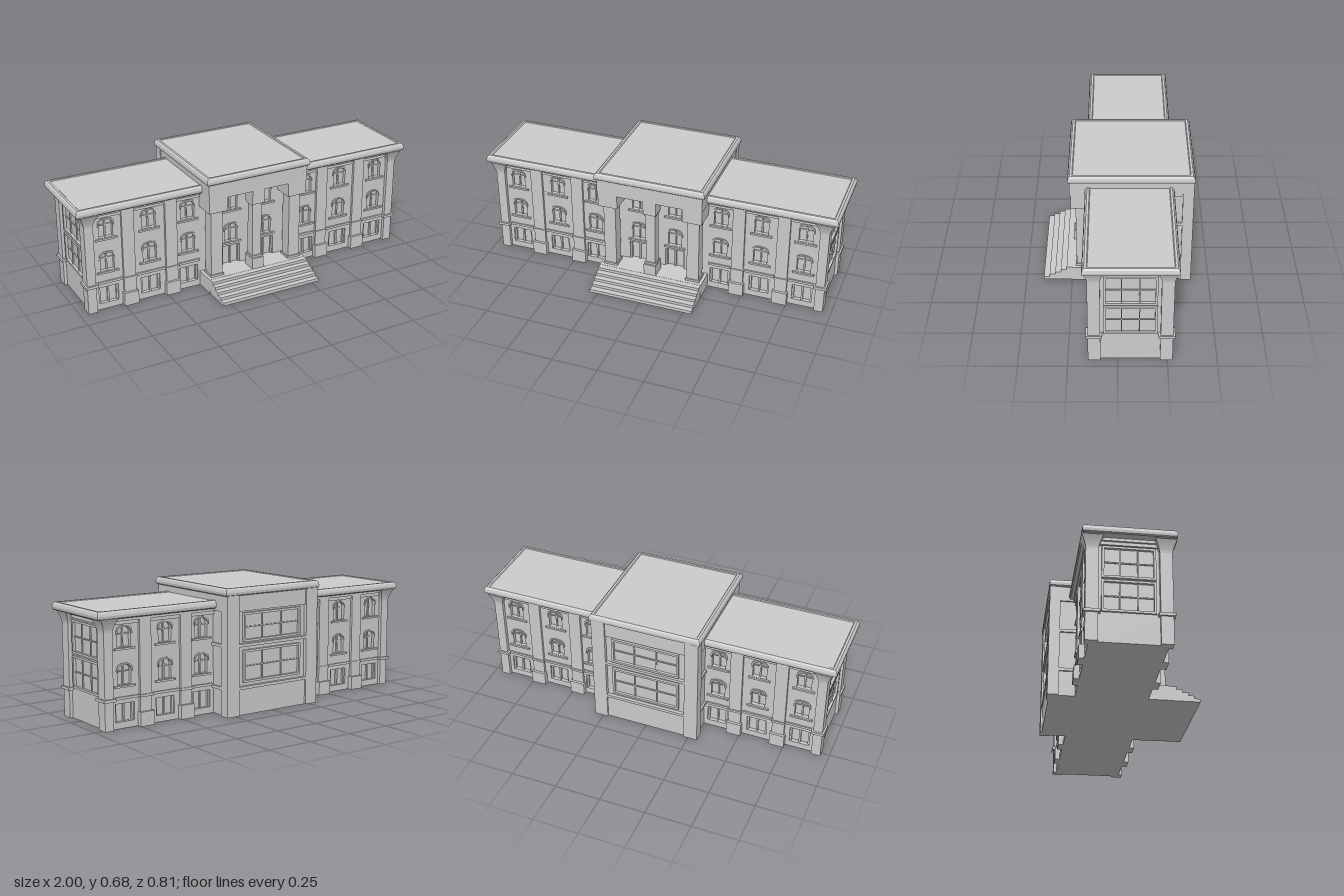
import * as THREE from 'three';

const mat = new THREE.MeshStandardMaterial({ color: 0xcccccc, flatShading: true });

function add(parent, name, geometry) {
  const m = new THREE.Mesh(geometry, mat);
  m.name = name;
  parent.add(m);
  return m;
}

// Box given by its limits on each axis
function box(parent, name, x0, x1, y0, y1, z0, z1) {
  const g = new THREE.BoxGeometry(x1 - x0, y1 - y0, z1 - z0);
  g.translate((x0 + x1) / 2, (y0 + y1) / 2, (z0 + z1) / 2);
  return add(parent, name, g);
}

function rectPath(P, x0, x1, y0, y1) {
  const p = new P();
  p.moveTo(x0, y0).lineTo(x1, y0).lineTo(x1, y1).lineTo(x0, y1).closePath();
  return p;
}

// Opening with a shallow arched head; y1 is the crown
function archPath(x, w, y0, y1, rise) {
  const p = new THREE.Path();
  p.moveTo(x - w / 2, y0).lineTo(x + w / 2, y0).lineTo(x + w / 2, y1 - rise);
  p.quadraticCurveTo(x + w / 2, y1, x, y1);
  p.quadraticCurveTo(x - w / 2, y1, x - w / 2, y1 - rise);
  return p.closePath();
}

// Curved moulding over an arched window whose foot is at y
function hoodShape(x, y) {
  const o = 0.046, i = 0.039, s = new THREE.Shape();
  s.moveTo(x + o, y).lineTo(x + o, y + 0.013);
  s.quadraticCurveTo(x + o, y + 0.045, x, y + 0.045);
  s.quadraticCurveTo(x - o, y + 0.045, x - o, y + 0.013);
  s.lineTo(x - o, y).lineTo(x - i, y).lineTo(x - i, y + 0.007);
  s.quadraticCurveTo(x - i, y + 0.037, x, y + 0.037);
  s.quadraticCurveTo(x + i, y + 0.037, x + i, y + 0.007);
  return s.lineTo(x + i, y).closePath();
}

const extrude = (shape, depth) =>
  new THREE.ExtrudeGeometry(shape, { depth, bevelEnabled: false, curveSegments: 5 });

// Roof slab with a moulded edge and a slightly sunken top
function roofSlab(parent, name, w, d, y0, h) {
  const profile = [[0.06, 0], [0.008, 0], [0.002, 0.12], [0, 0.45], [0.004, 0.8], [0.012, 1],
    [0.024, 1], [0.028, 0.9]].map(([inset, t]) => new THREE.Vector2((1 - inset) * Math.SQRT2, y0 + t * h));
  profile.push(new THREE.Vector2(0, y0 + 0.9 * h));
  const g = new THREE.LatheGeometry(profile, 4, Math.PI / 4);
  const p = g.attributes.position;
  for (let i = 0; i < p.count; i++) {
    const x = p.getX(i), z = p.getZ(i);
    if (Math.abs(x) < 0.1) continue;
    p.setX(i, Math.sign(x) * (w / 2 - 1 + Math.abs(x)));
    p.setZ(i, Math.sign(z) * (d / 2 - 1 + Math.abs(z)));
  }
  g.computeVertexNormals();
  return add(parent, name, g);
}

// Large framed window with a grid of panes, facing +z, on y0..y1
function gridWindow(name, half, y0, y1) {
  const w = new THREE.Group();
  w.name = name;
  const frame = rectPath(THREE.Shape, -half, half, y0, y1);
  frame.holes.push(rectPath(THREE.Path, -half + 0.012, half - 0.012, y0 + 0.012, y1 - 0.012));
  add(w, 'windowFrame', extrude(frame, 0.014));
  for (const s of [-1, 1]) box(w, 'mullion', s * half / 3 - 0.003, s * half / 3 + 0.003, y0, y1, 0, 0.006);
  const ym = (y0 + y1) / 2;
  box(w, 'transom', -half, half, ym - 0.003, ym + 0.003, 0, 0.006);
  return w;
}

// Corner pillar with collar and a cap that flares outward
function cornerPillar(parent, x, z) {
  const g = new THREE.Group();
  g.name = 'cornerPillar';
  box(g, 'pillarShaft', -0.025, 0.025, 0, 0.5, -0.0315, 0.0315);
  box(g, 'pillarCollar', -0.035, 0.035, 0.148, 0.163, -0.0415, 0.0415);
  const cap = new THREE.BoxGeometry(0.05, 0.07, 0.063, 1, 6, 1);
  const p = cap.attributes.position;
  for (let i = 0; i < p.count; i++) {
    const t = THREE.MathUtils.clamp((p.getY(i) + 0.035) / 0.07, 0, 1);
    const f = 0.024 * Math.pow(t, 1.5);
    p.setX(i, p.getX(i) + Math.sign(p.getX(i)) * f);
    p.setZ(i, p.getZ(i) + Math.sign(p.getZ(i)) * f);
  }
  cap.translate(0, 0.53, 0);
  cap.computeVertexNormals();
  add(g, 'pillarCap', cap);
  g.position.set(x, 0, z);
  parent.add(g);
}

// One long facade plus one end wall, about the centre line of the wings
function halfShell() {
  const g = new THREE.Group();
  g.name = 'wingFacade';
  const glass = 0.172, face = 0.193;
  const wall = rectPath(THREE.Shape, -0.93, 0.93, 0, 0.56);
  for (const s of [-1, 1]) for (const b of [0.105, 0.365, 0.59, 0.83]) {
    const x = s * b, porch = b < 0.2;
    // Arched windows on two floors
    for (const y of [0.222, 0.412]) {
      wall.holes.push(archPath(x, 0.076, y, y + 0.102, 0.03));
      box(g, 'windowSill', x - 0.06, x + 0.06, y - 0.012, y - 0.002, glass, face + 0.01);
      box(g, 'mullion', x - 0.004, x + 0.004, y, y + 0.1, glass - 0.002, glass + 0.009);
      box(g, 'transom', x - 0.038, x + 0.038, y + 0.064, y + 0.07, glass - 0.002, glass + 0.007);
      add(g, 'windowHood', extrude(hoodShape(x, y + 0.066), 0.006)).position.z = face;
    }
    // Basement windows, or doors within the porch
    const y0 = porch ? 0.083 : 0.035, y1 = porch ? 0.195 : 0.128;
    wall.holes.push(rectPath(THREE.Path, x - 0.055, x + 0.055, y0, y1));
    for (const e of [-1, 0, 1])
      box(g, porch ? 'doorPost' : 'basementMullion',
        x + e * 0.05 - 0.005, x + e * 0.05 + 0.005, y0, y1, glass - 0.002, glass + 0.012);
  }
  add(g, 'facadeWall', extrude(wall, face - glass)).position.z = glass;

  for (const s of [-1, 1]) {
    // Pilasters with block bases between the bays
    for (const x of [0.7125, 0.4675]) {
      box(g, 'pilaster', s * x - 0.034, s * x + 0.034, 0, 0.55, glass, 0.207);
      box(g, 'pilasterBase', s * x - 0.041, s * x + 0.041, 0, 0.075, glass, 0.221);
      box(g, 'pilasterCollar', s * x - 0.038, s * x + 0.038, 0.15, 0.163, glass, 0.213);
    }
    cornerPillar(g, s * 0.93, 0.181);
    const a = s * 0.3, b = s * 0.93;
    box(g, 'wallBand', Math.min(a, b), Math.max(a, b), 0.15, 0.163, glass, face + 0.008);
  }

  // End wall windows and plinth
  for (const [y0, y1] of [[0.162, 0.335], [0.345, 0.52]]) {
    const w = gridWindow('endWindow', 0.133, y0, y1);
    w.rotation.y = Math.PI / 2;
    w.position.x = 0.93;
    g.add(w);
  }
  box(g, 'endPlinth', 0.9, 0.938, 0, 0.16, -0.155, 0.155);
  return g;
}

export function createModel() {
  const model = new THREE.Group();
  model.name = 'civicBuilding';

  // Wings
  const wings = new THREE.Group();
  wings.name = 'wings';
  wings.position.z = -0.0635;
  box(wings, 'wingCore', -0.93, 0.93, 0, 0.56, -0.173, 0.173);
  const front = halfShell(), back = front.clone();
  back.rotation.y = Math.PI;
  wings.add(front, back);
  box(wings, 'eavesLower', -0.94, 0.94, 0.528, 0.546, -0.2, 0.2);
  box(wings, 'eavesUpper', -0.95, 0.95, 0.546, 0.565, -0.21, 0.21);
  roofSlab(wings, 'wingRoof', 2, 0.47, 0.562, 0.042);
  model.add(wings);

  // Central block
  const centre = new THREE.Group();
  centre.name = 'centralBlock';
  box(centre, 'centreCore', -0.288, 0.288, 0, 0.6, -0.382, 0.1);
  box(centre, 'centreFascia', -0.297, 0.297, 0.55, 0.64, -0.392, 0.253);
  const roof = roofSlab(centre, 'centreRoof', 0.622, 0.668, 0.634, 0.041);
  roof.position.z = -0.072;
  for (const s of [-1, 1]) {
    const span = (a, b) => s > 0 ? [a, b] : [-b, -a];
    box(centre, 'rearPillar', ...span(0.225, 0.301), 0, 0.637, -0.402, -0.344);
    for (const y of [0.138, 0.364])
      box(centre, 'sideLedge', ...span(0.28, 0.298), y, y + 0.016, -0.35, -0.2);
  }
  box(centre, 'rearPlinth', -0.23, 0.23, 0, 0.138, -0.392, -0.37);
  for (const y of [0.138, 0.364]) box(centre, 'rearLedge', -0.23, 0.23, y, y + 0.016, -0.4, -0.37);
  for (const [y0, y1] of [[0.172, 0.345], [0.388, 0.542]]) {
    const w = gridWindow('rearWindow', 0.19, y0, y1);
    w.rotation.y = Math.PI;
    w.position.z = -0.382;
    centre.add(w);
  }
  model.add(centre);

  // Porch with columns, beam blocks and stairs
  const porch = new THREE.Group();
  porch.name = 'porch';
  box(porch, 'porchFloor', -0.297, 0.297, 0, 0.083, 0.1, 0.248);
  for (const x of [-0.24, 0, 0.24]) {
    const mid = x === 0, r = mid ? 0.027 : 0.034;
    const z0 = mid ? 0.178 : 0.155, z1 = mid ? 0.232 : 0.223, foot = mid ? 0.145 : 0.083;
    box(porch, 'column', x - r, x + r, foot, 0.47, z0, z1);
    box(porch, 'columnBase', x - r - 0.006, x + r + 0.006, foot, foot + 0.012, z0 - 0.006, z1 + 0.006);
    box(porch, 'columnCapital', x - r - 0.006, x + r + 0.006, 0.458, 0.47, z0 - 0.006, z1 + 0.006);
    if (mid) box(porch, 'columnPedestal', -0.035, 0.035, 0.08, 0.145, 0.165, 0.247);
    const b = mid ? 0.036 : 0.055;
    box(porch, 'beamBlock', x - b, x + b, 0.47, 0.552, mid ? 0.16 : 0.1, 0.248);
  }
  for (let i = 0; i < 5; i++)
    box(porch, 'step', -0.295, 0.295, 0, 0.018 + i * 0.016, 0.24, 0.405 - i * 0.0315);
  model.add(porch);

  return model;
}
